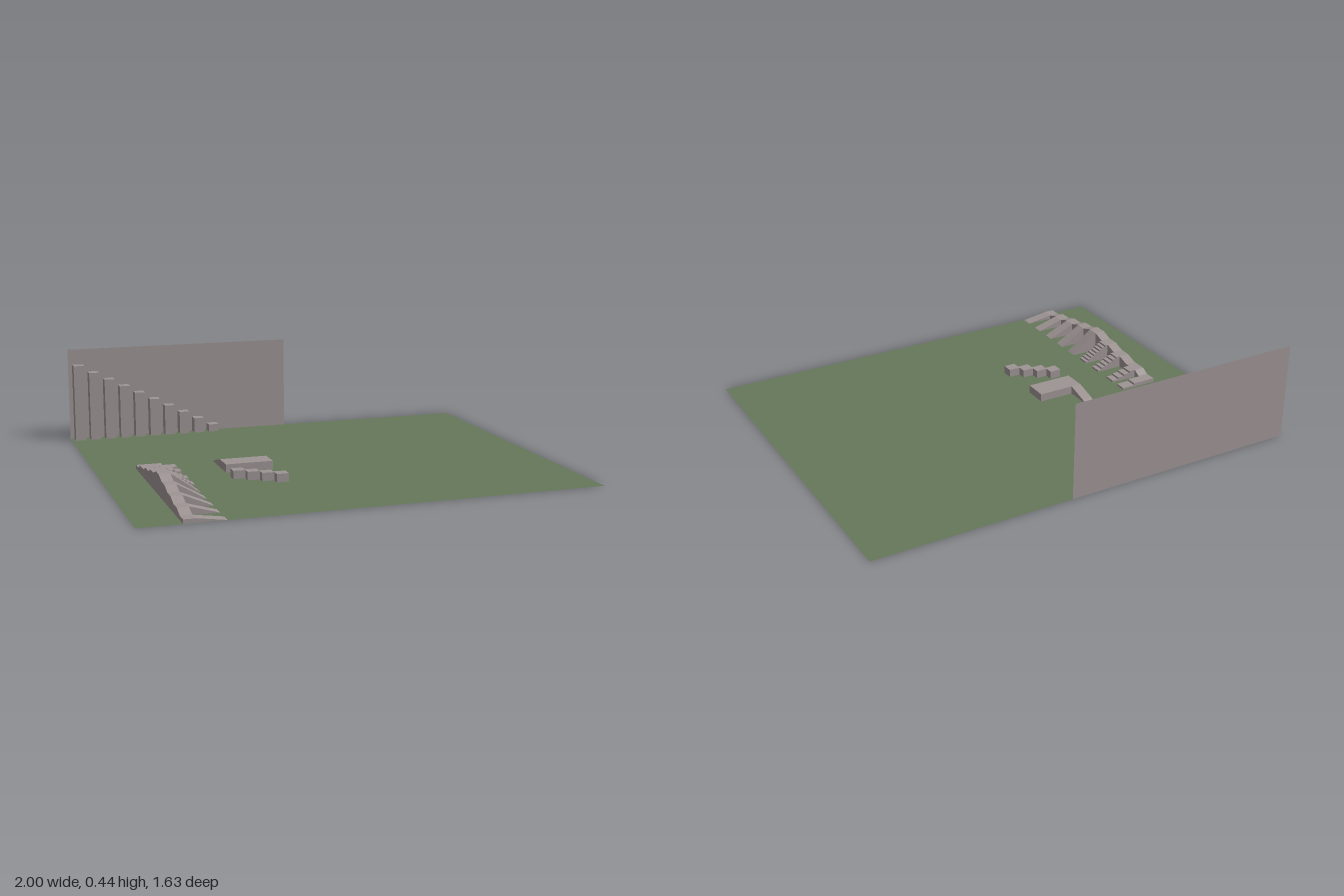
import * as THREE from 'three';

export function createModel() {
  const model = new THREE.Group();
  const grass = new THREE.MeshStandardMaterial({ color: 0x66775a });
  grass.name = 'grassGreen';
  grass.side = THREE.DoubleSide;
  const stone = new THREE.MeshStandardMaterial({ color: 0x9d9393 });
  stone.name = 'warmGrey';
  const sheet = stone.clone();
  sheet.side = THREE.DoubleSide;

  const add = (name, geometry, material = stone) => {
    const mesh = new THREE.Mesh(geometry, material);
    mesh.name = name;
    model.add(mesh);
    return mesh;
  };
  // Block standing on the ground between two corners
  const block = (name, x0, x1, z0, z1, h) =>
    add(name, new THREE.BoxGeometry(x1 - x0, h, z1 - z0)).position.set((x0 + x1) / 2, h / 2, (z0 + z1) / 2);
  const extrude = (points, depth) => new THREE.ExtrudeGeometry(
    new THREE.Shape(points.map(p => new THREE.Vector2(...p))), { depth, bevelEnabled: false });
  // Side profile given as (z, y), spanning x0..x1
  const sideProfile = (name, points, x0, x1) =>
    add(name, extrude(points, x1 - x0).rotateY(-Math.PI / 2).translate(x1, 0, 0));

  // Ground and standing back wall
  add('ground', new THREE.PlaneGeometry(2, 1.635).rotateX(-Math.PI / 2), grass);
  add('backWall', new THREE.PlaneGeometry(1.09, 0.44), sheet).position.set(-0.455, 0.22, -0.8175);

  // Row of pillars growing shorter
  const unit = 0.0183;
  for (let i = 0; i < 10; i++) {
    const x = -0.981 + i * 0.0735;
    block('pillar', x, x + 0.05, -0.8165, -0.765, (10 - i) * unit * 2);
  }

  // Raised walkway: flat landings joined by short slopes
  const levels = [1, 2, 3, 4, 5, 4, 3, 2, 1];
  const seg = 0.0544;
  const landings = levels.map((n, i) => {
    const z = 0.8165 - i * 2 * seg;
    return { h: n * unit, z1: z, z0: i === 7 ? -0.02 : z - seg };
  });
  const path = [[-0.108, 0], [0.8165, 0]];
  landings.forEach(l => path.push([l.z1, l.h], [l.z0, l.h]));
  sideProfile('walkway', path, -0.815, -0.766);

  // Side branches: ramps up to the summit, stairs beyond it
  const xa = -0.766, xb = -0.64, w = xb - xa;
  landings.forEach((l, i) => {
    const z0 = l.z0, depth = 0.052;
    if (i < 5) {
      add('sideRamp', extrude([[xa, 0], [xb, 0], [xa, l.h]], depth).translate(0, 0, z0));
    } else {
      const n = levels[i] * 2;
      const steps = [[xa, 0], [xb, 0]];
      for (let k = 1; k <= n; k++) {
        steps.push([xb - (k - 1) * w / n, k * l.h / n], [xb - k * w / n, k * l.h / n]);
      }
      add('sideStairs', extrude(steps, depth).translate(0, 0, z0));
    }
  });

  // Low platform with its ramp
  block('platform', -0.455, -0.24, -0.02, 0.085, 0.037);
  sideProfile('platformRamp', [[-0.145, 0], [-0.02, 0], [-0.02, 0.037], [-0.115, 0.012]], -0.455, -0.407);

  // Diagonal chain of blocks
  for (let i = 0; i < 4; i++) {
    const x = -0.455 + i * 0.0538, z = 0.16 + i * 0.0375;
    block('diagonalBlock', x, x + 0.0538, z, z + 0.05, 0.037);
  }

  return model;
}
